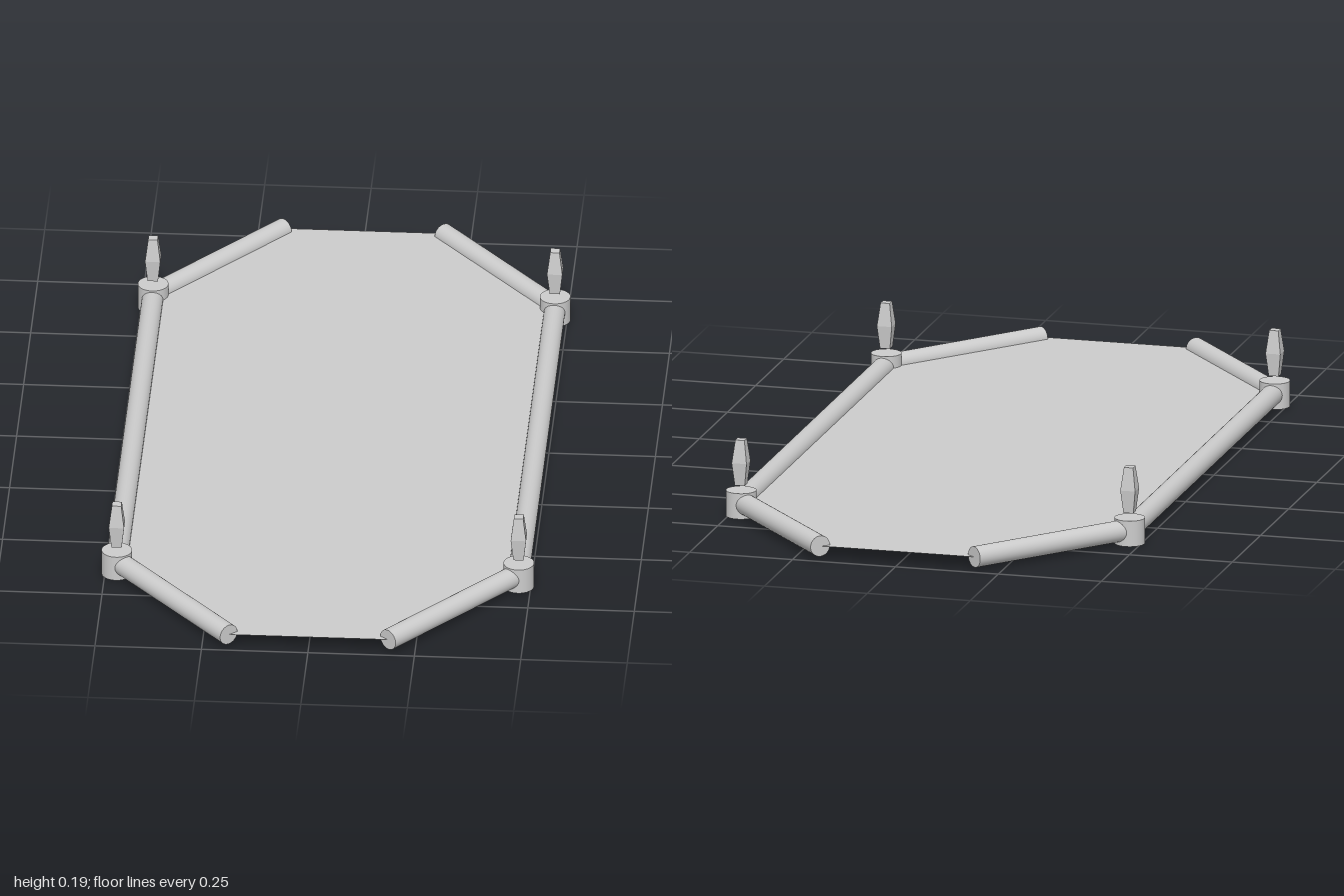
import * as THREE from 'three';

const material = new THREE.MeshStandardMaterial({ color: 0xcccccc });
const flatMaterial = new THREE.MeshStandardMaterial({ color: 0xcccccc, flatShading: true });
const sheetMaterial = new THREE.MeshStandardMaterial({ color: 0xcccccc, side: THREE.DoubleSide });

const RAIL_Y = 0.033, RAIL_R = 0.025;
const CORNER = [0.472, 0.645]; // post position (x, z)
const END = [0.187, 0.984]; // open end of a diagonal rail (x, z)

function add(parent, name, geometry, mat, x = 0, y = 0, z = 0) {
  const mesh = new THREE.Mesh(geometry, mat);
  mesh.name = name;
  mesh.position.set(x, y, z);
  parent.add(mesh);
  return mesh;
}

// Round rail running between two points given as (x, z)
function addRail(parent, name, [ax, az], [bx, bz]) {
  const a = new THREE.Vector3(ax, RAIL_Y, az);
  const b = new THREE.Vector3(bx, RAIL_Y, bz);
  const dir = b.clone().sub(a);
  const rail = add(parent, name, new THREE.CylinderGeometry(RAIL_R, RAIL_R, dir.length(), 32), material);
  rail.position.copy(a).add(b).multiplyScalar(0.5);
  rail.quaternion.setFromUnitVectors(new THREE.Vector3(0, 1, 0), dir.normalize());
}

// Four-sided tapered lower or upper half of a marker, sides facing the axes
function taper(top, bottom, height) {
  const k = Math.SQRT2;
  return new THREE.CylinderGeometry(top * k, bottom * k, height, 4).rotateY(Math.PI / 4);
}

export function createModel() {
  const model = new THREE.Group();
  model.name = 'railedPlatform';

  // Thin eight-sided floor along the rail centre lines
  const [cx, cz] = CORNER, [ex, ez] = END;
  const outline = [[ex, ez], [cx, cz], [cx, -cz], [ex, -ez], [-ex, -ez], [-cx, -cz], [-cx, cz], [-ex, ez]];
  const shape = new THREE.Shape(outline.map(([x, z]) => new THREE.Vector2(x, -z)));
  add(model, 'floor', new THREE.ShapeGeometry(shape).rotateX(-Math.PI / 2), sheetMaterial, 0, RAIL_Y, 0);

  for (const sx of [1, -1]) {
    const side = sx > 0 ? 'left' : 'right';
    addRail(model, side + 'Rail', [sx * cx, -cz], [sx * cx, cz]);

    for (const sz of [1, -1]) {
      const label = side + (sz > 0 ? 'Front' : 'Back');
      addRail(model, label + 'DiagonalRail', [sx * cx, sz * cz], [sx * ex, sz * ez]);

      // Corner post with a floating spindle marker
      const corner = new THREE.Group();
      corner.name = label + 'Corner';
      corner.position.set(sx * cx, 0, sz * cz);
      add(corner, 'post', new THREE.CylinderGeometry(0.036, 0.036, 0.062, 32), material, 0, 0.031, 0);
      add(corner, 'markerLower', taper(0.018, 0.012, 0.055), flatMaterial, 0, 0.1025, 0);
      add(corner, 'markerUpper', taper(0.011, 0.018, 0.055), flatMaterial, 0, 0.1575, 0);
      model.add(corner);
    }
  }
  return model;
}
